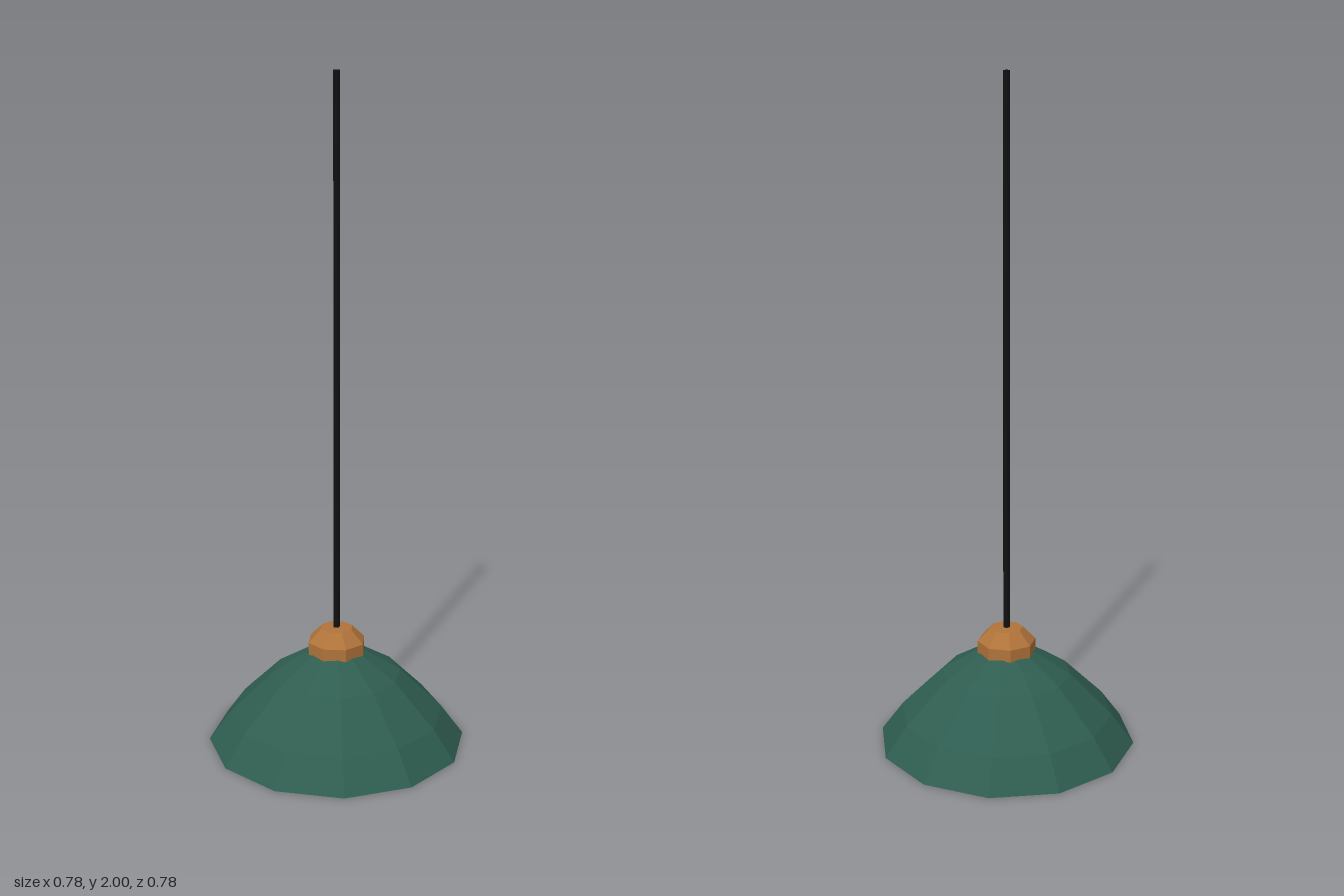
import * as THREE from 'three';

const makeMaterial = (name, color) => {
  const m = new THREE.MeshStandardMaterial({ color, flatShading: true });
  m.name = name;
  return m;
};

export function createModel() {
  const green = makeMaterial('green enamel', 0x2f5d50);
  const copper = makeMaterial('copper', 0xb0733a);
  const white = makeMaterial('warm white enamel', 0xded6cc);
  const glass = makeMaterial('cream glass', 0xffe2b4);
  const black = makeMaterial('black cord', 0x111111);

  const group = new THREE.Group();
  group.name = 'pendantLamp';

  // Profiles run upwards to face out, downwards to face in
  const turn = (name, profile, sides, material) => {
    const points = profile.map(([r, y]) => new THREE.Vector2(r, y));
    const mesh = new THREE.Mesh(new THREE.LatheGeometry(points, sides), material);
    mesh.name = name;
    group.add(mesh);
  };

  // Twelve-sided shade with a thin rim
  turn('shade', [[0.384, 0], [0.392, 0], [0.325, 0.09], [0.197, 0.215], [0.08, 0.286]], 12, green);

  // Pale inside of the shade, closed around the socket
  turn('shadeLining', [[0.02, 0.277], [0.08, 0.276], [0.192, 0.207], [0.318, 0.085], [0.384, 0]], 12, white);

  // Eight-sided cap with a chamfered top
  turn('cap', [[0.03, 0.28], [0.089, 0.28], [0.089, 0.318], [0.05, 0.358], [0, 0.36]], 8, copper);

  // Socket and bulb below the cap
  turn('socket', [[0, 0.155], [0.037, 0.155], [0.037, 0.29]], 8, copper);
  turn('bulb', [[0, 0.018], [0.042, 0.032], [0.065, 0.08], [0.052, 0.12], [0.03, 0.17]], 8, glass);

  // Open-ended hanging cord
  turn('cord', [[0.01, 0.35], [0.01, 2]], 8, black);

  return group;
}
